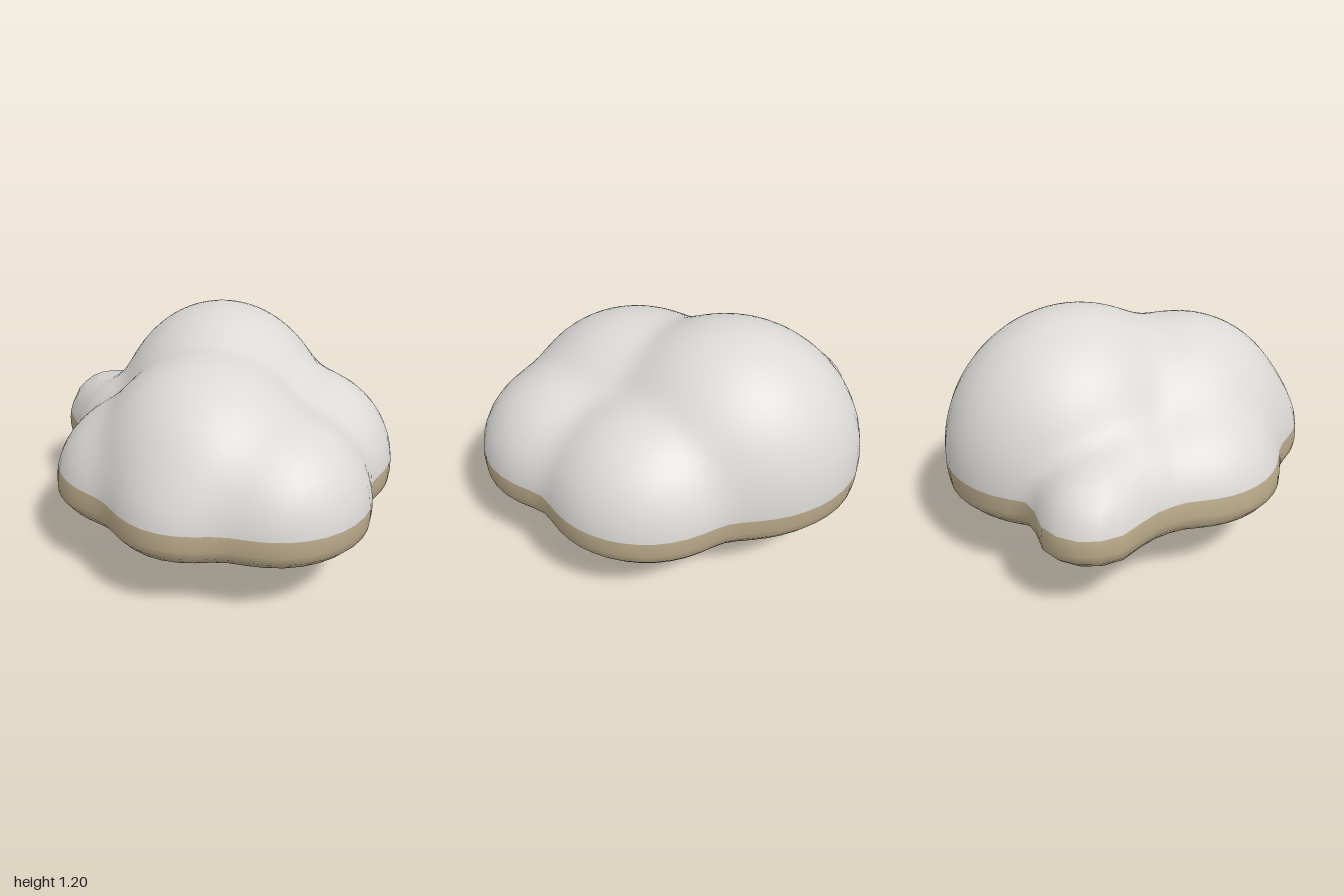
import * as THREE from 'three';

// Lobes of the cloud: centre x, y, z and radii x, y, z
const LOBES = [
  [0.06, 0.50, -0.30, 0.60, 0.70, 0.69],  // tall back lobe
  [-0.13, 0.50, 0.22, 0.56, 0.59, 0.62],  // central dome
  [0.42, 0.45, 0.07, 0.47, 0.47, 0.51],   // +x lobe
  [0.15, 0.45, 0.53, 0.47, 0.45, 0.47],   // low front lobe
  [-0.28, 0.42, 0.46, 0.37, 0.38, 0.40],  // low front lobe on the -x side
  [-0.42, 0.39, 0.04, 0.475, 0.43, 0.48], // -x lobe
  [-0.44, 0.42, -0.38, 0.32, 0.36, 0.31], // filler towards the back corner
  [-0.55, 0.43, -0.66, 0.25, 0.29, 0.25]  // small back corner lobe
];
const BASE = 0.33, BAND = 0.49, SEGMENTS = 72, BAND_ROWS = 4, DOME_ROWS = 26, BLEND = 0.034;
const UNDERSIDE_RINGS = [0, 0.5, 0.83, 0.97];

// Soft union of the lobes, negative inside
function field(p) {
  let sum = 0;
  for (const [x, y, z, a, b, c] of LOBES) {
    const d = (Math.hypot((p.x - x) / a, (p.y - y) / b, (p.z - z) / c) - 1) * Math.min(a, b, c);
    sum += Math.exp(-d / BLEND);
  }
  return -BLEND * Math.log(sum + 1e-30);
}

// Outermost surface point along a ray from the vertical axis
function surfacePoint(y, direction) {
  const at = r => direction.clone().multiplyScalar(r).add(new THREE.Vector3(0, y, 0));
  let outer = 1.4;
  while (outer > 0.05 && field(at(outer - 0.01)) > 0) outer -= 0.01;
  let inner = outer - 0.01;
  for (let i = 0; i < 12; i++) {
    const mid = (inner + outer) / 2;
    if (field(at(mid)) > 0) outer = mid; else inner = mid;
  }
  return at(inner);
}

// Smooth skin over closed rings of points, listed from the bottom up
function skin(rings) {
  const n = rings[0].length, indices = [];
  for (let j = 0; j < rings.length - 1; j++) {
    for (let i = 0; i < n; i++) {
      const a = j * n + i, b = j * n + (i + 1) % n;
      indices.push(a, b, b + n, a, b + n, a + n);
    }
  }
  const g = new THREE.BufferGeometry().setFromPoints(rings.flat());
  g.setIndex(indices);
  g.computeVertexNormals();
  return g;
}

export function createModel() {
  const model = new THREE.Group();
  const material = (name, color) => {
    const m = new THREE.MeshStandardMaterial({ color });
    m.name = name;
    return m;
  };
  const grey = material('pale grey', 0xdcdad7);
  const tan = material('tan', 0xb8a888);
  const blue = material('blue', 0x6ea2dc);
  const add = (name, geometry, mat) => {
    const mesh = new THREE.Mesh(geometry, mat);
    mesh.name = name;
    model.add(mesh);
    return mesh;
  };

  // Cloud: flat underside, level rows up the band, then rising rays over the dome
  const ring = (y, lift) => Array.from({ length: SEGMENTS }, (_, i) => {
    const t = i / SEGMENTS * Math.PI * 2, c = Math.cos(lift);
    return surfacePoint(y, new THREE.Vector3(Math.sin(t) * c, Math.sin(lift), Math.cos(t) * c));
  });
  const rim = ring(BASE, 0);
  const rings = UNDERSIDE_RINGS.map(f => rim.map(p => new THREE.Vector3(p.x * f, BASE, p.z * f)));
  for (let j = 1; j <= BAND_ROWS; j++) rings.push(ring(BASE + (BAND - BASE) * j / BAND_ROWS, 0));
  for (let j = 1; j <= DOME_ROWS; j++) rings.push(ring(BAND, j / DOME_ROWS * Math.PI / 2));
  const cloud = skin(rings);
  const tanCount = (UNDERSIDE_RINGS.length + BAND_ROWS - 1) * SEGMENTS * 6;
  cloud.addGroup(0, tanCount, 0);
  cloud.addGroup(tanCount, cloud.index.count - tanCount, 1);
  add('cloud', cloud, [tan, grey]);

  // Four-sided pointed peg hanging below
  const square = (half, y) => [[-1, 1], [1, 1], [1, -1], [-1, -1]]
    .map(([x, z]) => new THREE.Vector3(x * half, y, z * half));
  const peg = add('pointedPeg', skin([square(0, 0), square(0.169, 0.16), square(0.181, 0.34)]), blue);
  peg.position.set(-0.203, 0, 0.012);

  return model;
}
